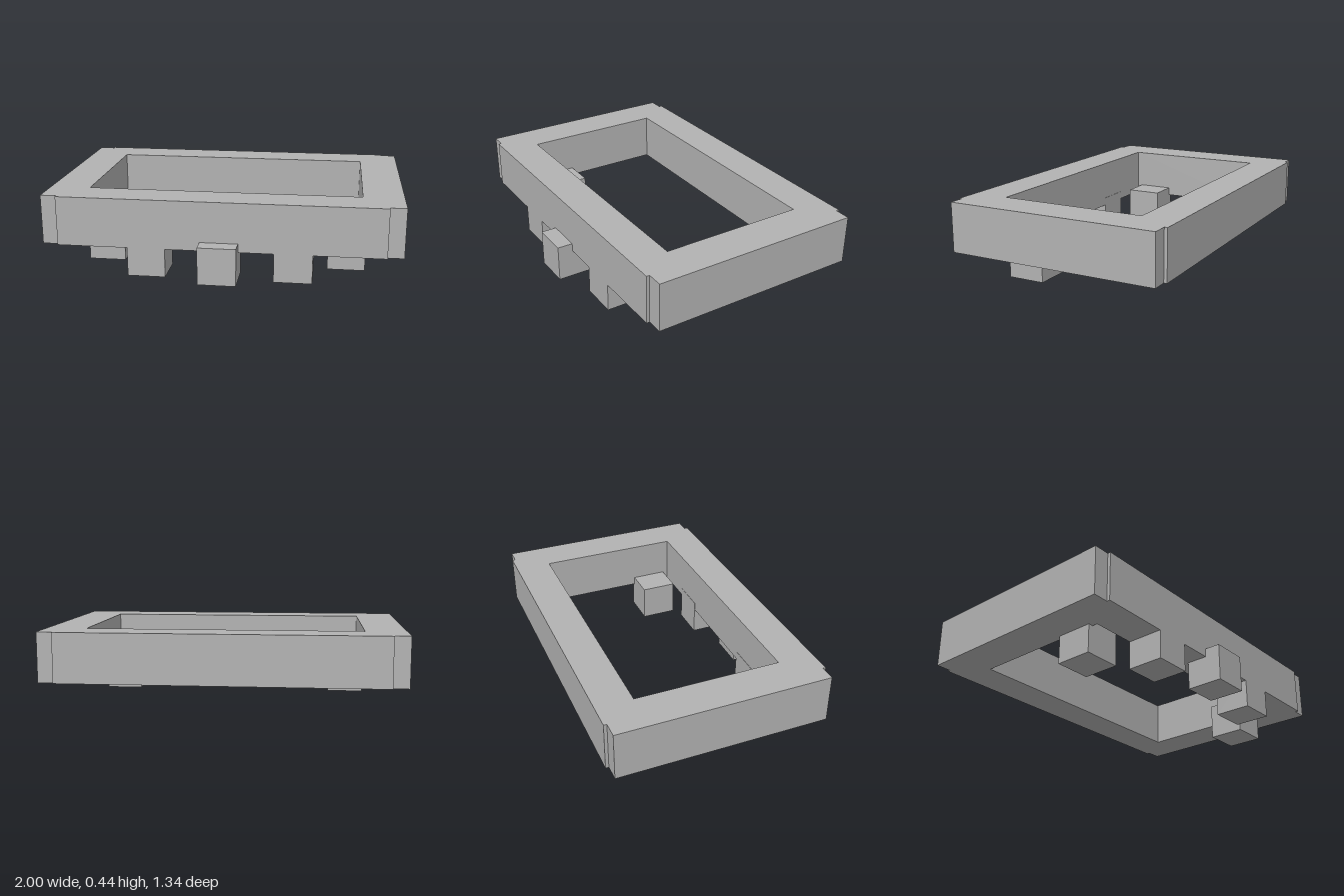
import * as THREE from 'three';

export function createModel() {
  const model = new THREE.Group();
  const grey = new THREE.MeshStandardMaterial({ color: 0xb2b2b2 });
  grey.name = 'grey';

  const add = (name, geometry, x, y, z) => {
    const mesh = new THREE.Mesh(geometry, grey);
    mesh.name = name;
    mesh.position.set(x, y, z);
    model.add(mesh);
  };

  // Frame: rectangular ring whose front and back rails stand slightly proud
  const midZ = -0.045; // depth centre of the frame
  const path = (points) => points.map(([x, y]) => new THREE.Vector2(x, y));
  const sideX = 1, railX = 0.91, sideZ = 0.609, railZ = 0.627;
  const outline = new THREE.Shape(path([
    [-railX, -railZ], [railX, -railZ], [railX, -sideZ], [sideX, -sideZ],
    [sideX, sideZ], [railX, sideZ], [railX, railZ], [-railX, railZ],
    [-railX, sideZ], [-sideX, sideZ], [-sideX, -sideZ], [-railX, -sideZ],
  ]));
  outline.holes.push(new THREE.Path(path([
    [-0.772, -0.417], [-0.772, 0.417], [0.772, 0.417], [0.772, -0.417],
  ])));
  const frame = new THREE.ExtrudeGeometry(outline, { depth: 0.28, bevelEnabled: false });
  frame.rotateX(-Math.PI / 2);
  add('frame', frame, 0, 0.163, midZ);

  // Five cubes in an arc under the front of the frame
  const size = 0.212;
  const cube = new THREE.BoxGeometry(size, size, size);
  add('centreBlock', cube, 0, size / 2, 0.566);
  for (const [side, s] of [['left', 1], ['right', -1]]) {
    add(side + 'InnerBlock', cube, s * 0.407, size / 2, 0.476);
    add(side + 'OuterBlock', cube, s * 0.695, size / 2, 0.235);
  }
  return model;
}
